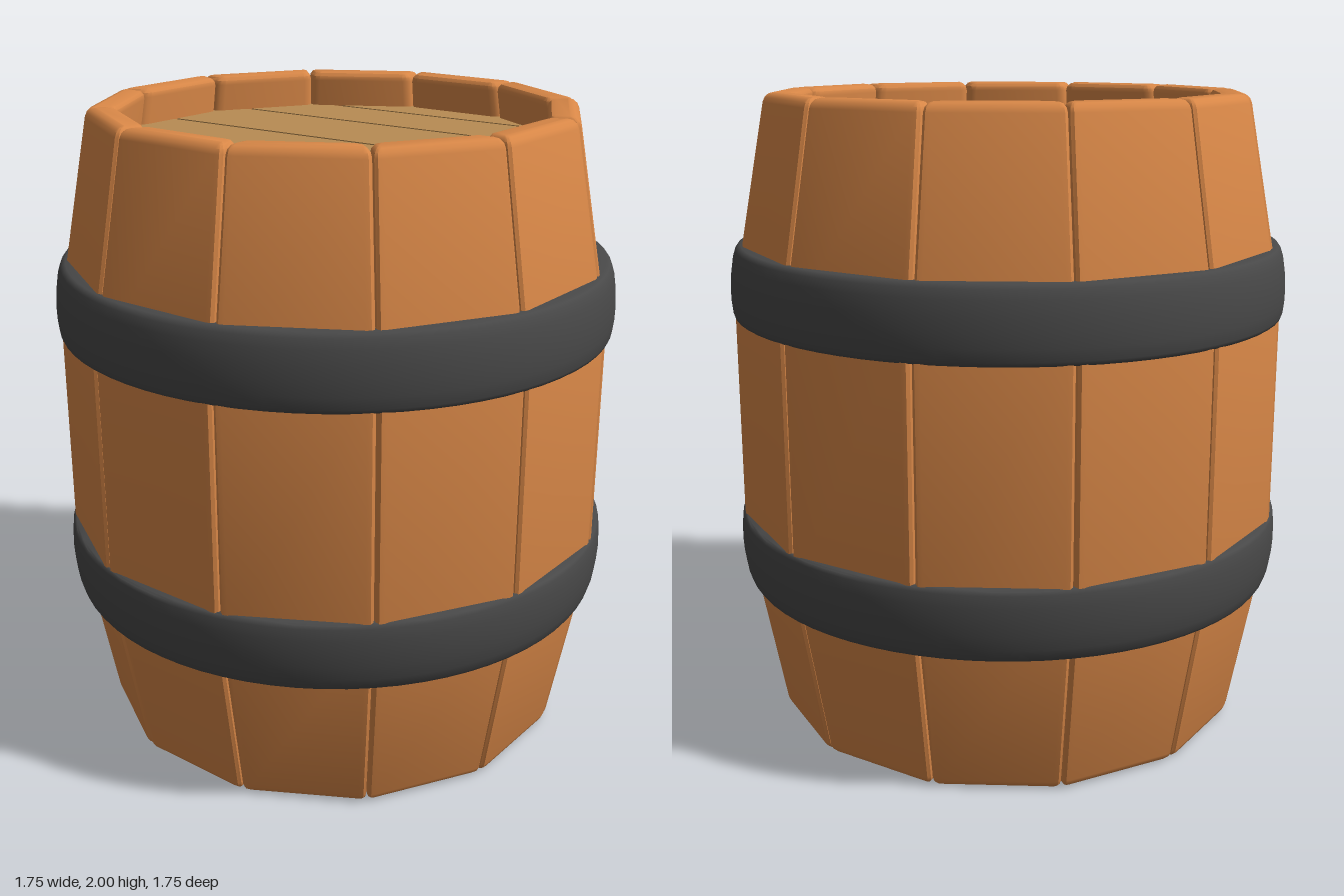
import * as THREE from 'three';
import { toCreasedNormals } from 'three/addons/utils/BufferGeometryUtils.js';

const STAVES = 12, HALF = Math.PI / STAVES;
const BEVEL = 0.028, WALL = 0.1;
const KINK = 0.62; // height where the tapered end meets the straight belly

const wood = new THREE.MeshStandardMaterial({ color: 0xd88747 });
const lidWood = new THREE.MeshStandardMaterial({ color: 0xb88c53 });
const iron = new THREE.MeshStandardMaterial({ color: 0x484848 });

// Outer corner radius: straight belly, tapering towards both ends
const radiusAt = y => 0.756 + 0.187 * Math.min(y, 2 - y, KINK);

// Rounded trapezoid section of a stave, as [radial, sideways] points
function staveSection(y, inset) {
  const R = radiusAt(y), r = R - WALL;
  const uo = R * Math.cos(HALF) - inset, ui = r * Math.cos(HALF) + inset;
  const wo = R * Math.sin(HALF) - inset, wi = r * Math.sin(HALF) - inset;
  const corners = [[uo, -wo], [uo, wo], [ui, wi], [ui, -wi]].map(c => new THREE.Vector2(...c));
  const cut = Math.max(BEVEL - inset, 0.004);
  const towards = (a, b) => a.clone().add(b.clone().sub(a).setLength(cut));
  return corners.flatMap((c, i) => new THREE.QuadraticBezierCurve(
    towards(c, corners[(i + 3) % 4]), c, towards(c, corners[(i + 1) % 4])).getPoints(3));
}

function staveGeometry() {
  // Levels from bottom to top, with rounded ends
  const ends = [0, 1, 2, 3].map(k => {
    const a = k * Math.PI / 6;
    return [BEVEL * (1 - Math.cos(a)), BEVEL * (1 - Math.sin(a))];
  });
  const levels = [
    ...ends,
    [KINK, 0], [2 - KINK, 0],
    ...ends.map(([y, s]) => [2 - y, s]).reverse(),
  ];
  const pos = [], index = [];
  let n = 0;
  levels.forEach(([y, inset], j) => {
    const section = staveSection(y, inset);
    n = section.length;
    section.forEach(p => pos.push(p.y, y, p.x));
    if (j === 0) return;
    for (let i = 0; i < n; i++) {
      const a = (j - 1) * n + i, b = (j - 1) * n + (i + 1) % n;
      index.push(a, b, b + n, a, b + n, a + n);
    }
  });
  // End caps
  const top = (levels.length - 1) * n;
  for (let i = 1; i < n - 1; i++) {
    index.push(0, i + 1, i);
    index.push(top, top + i, top + i + 1);
  }
  const g = new THREE.BufferGeometry();
  g.setAttribute('position', new THREE.Float32BufferAttribute(pos, 3));
  g.setIndex(index);
  return toCreasedNormals(g, 0.6);
}

// Iron hoop profile, given upwards from its belly-side edge
function hoopGeometry() {
  const profile = [
    [0.8, 0], [0.862, 0], [0.868, 0.004], [0.872, 0.014], [0.876, 0.05], [0.877, 0.09],
    [0.874, 0.135], [0.867, 0.18], [0.858, 0.208], [0.851, 0.218], [0.842, 0.222], [0.79, 0.222],
  ].map(p => new THREE.Vector2(...p));
  return toCreasedNormals(new THREE.LatheGeometry(profile, 72), 0.7);
}

// One board of a round lid, lying between two parallel chords
function boardGeometry(from, to) {
  const r = 0.7, a0 = Math.asin(from / r), a1 = Math.asin(to / r);
  const arc = [];
  for (let i = 0; i <= 8; i++) {
    const a = a0 + (a1 - a0) * i / 8;
    arc.push(new THREE.Vector2(r * Math.cos(a), r * Math.sin(a)));
  }
  const mirrored = arc.map(p => new THREE.Vector2(-p.x, p.y)).reverse();
  if (to === r) mirrored.shift();
  if (from === -r) mirrored.pop();
  const g = new THREE.ExtrudeGeometry(new THREE.Shape([...arc, ...mirrored]),
    { depth: 0.01, bevelEnabled: false });
  return g.rotateX(-Math.PI / 2).translate(0, -0.005, 0);
}

function createLid(name) {
  const lid = new THREE.Group();
  lid.name = name;
  const seams = [-0.7, -0.538, -0.301, 0, 0.301, 0.538, 0.7], gap = 0.007;
  for (let i = 0; i < seams.length - 1; i++) {
    const from = i === 0 ? seams[i] : seams[i] + gap;
    const to = i === seams.length - 2 ? seams[i + 1] : seams[i + 1] - gap;
    const board = new THREE.Mesh(boardGeometry(from, to), lidWood);
    board.name = 'lidBoard';
    lid.add(board);
  }
  lid.rotation.y = -0.227;
  return lid;
}

export function createModel() {
  const barrel = new THREE.Group();
  barrel.name = 'barrel';

  // Ring of staves
  const staves = new THREE.Group();
  staves.name = 'staves';
  const geometry = staveGeometry();
  for (let i = 0; i < STAVES; i++) {
    const stave = new THREE.Mesh(geometry, wood);
    stave.name = 'stave';
    stave.rotation.y = (2 * i + 1) * HALF;
    staves.add(stave);
  }
  barrel.add(staves);

  // Two hoops, the lower one turned over
  const hoop = hoopGeometry();
  const upperHoop = new THREE.Mesh(hoop, iron);
  upperHoop.name = 'upperHoop';
  upperHoop.position.y = 1.318;
  const lowerHoop = new THREE.Mesh(hoop, iron);
  lowerHoop.name = 'lowerHoop';
  lowerHoop.rotation.x = Math.PI;
  lowerHoop.position.y = 0.685;
  barrel.add(upperHoop, lowerHoop);

  // Recessed lids
  const topLid = createLid('topLid');
  topLid.position.y = 1.88;
  const bottomLid = createLid('bottomLid');
  bottomLid.position.y = 0.135;
  barrel.add(topLid, bottomLid);

  return barrel;
}
